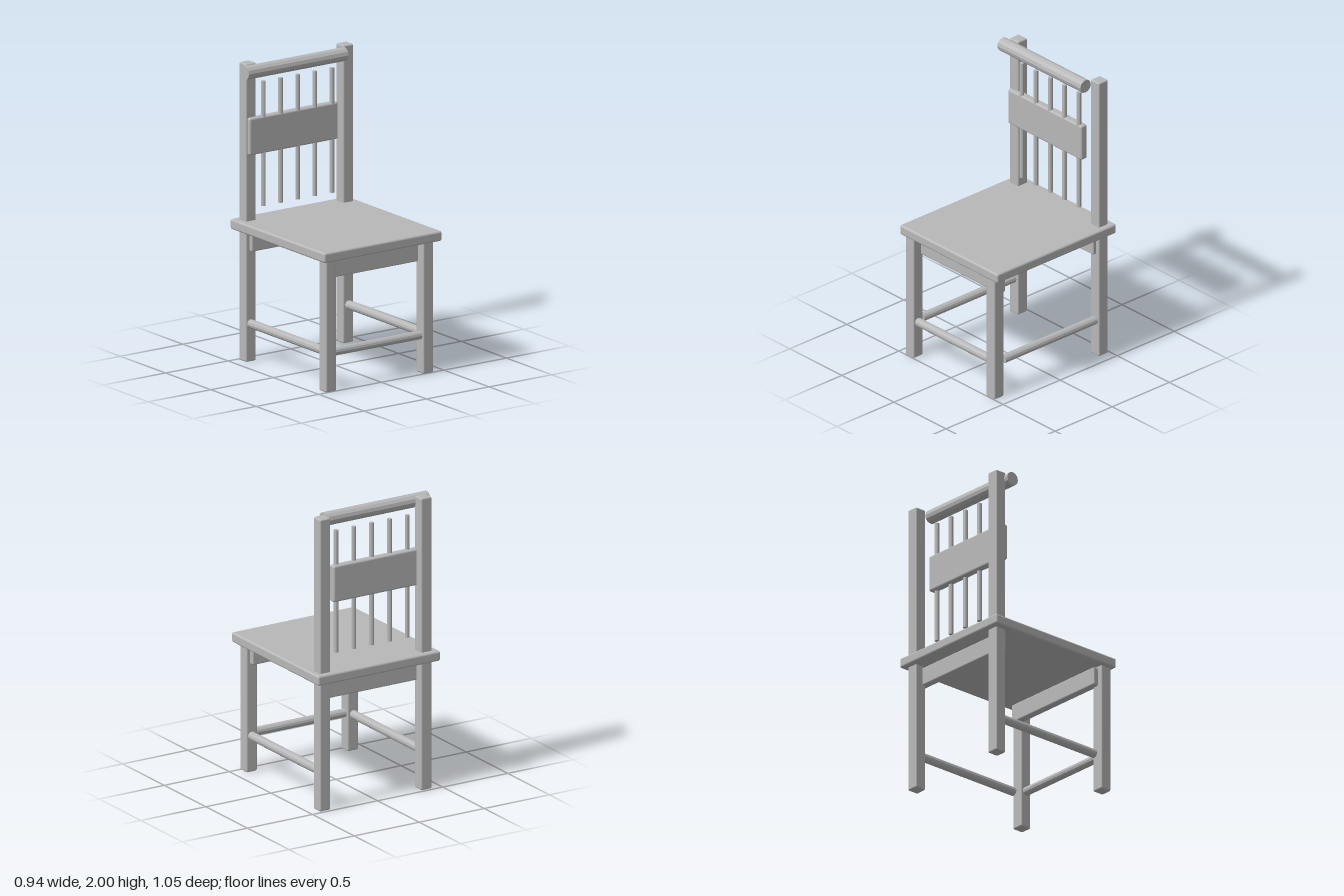
import * as THREE from 'three';
import { RoundedBoxGeometry } from 'three/addons/geometries/RoundedBoxGeometry.js';

export function createModel() {
  const chair = new THREE.Group();
  chair.name = 'chair';
  const grey = new THREE.MeshStandardMaterial({ color: 0xb8b8b8 });
  grey.name = 'plain grey';

  const add = (name, geometry) => {
    const mesh = new THREE.Mesh(geometry, grey);
    mesh.name = name;
    chair.add(mesh);
    return mesh;
  };

  // Softly rounded board given by its extents on each axis
  const board = (name, [x0, x1], [y0, y1], [z0, z1], radius = 0.01) => {
    const geometry = new RoundedBoxGeometry(x1 - x0, y1 - y0, z1 - z0, 2, radius);
    add(name, geometry).position.set((x0 + x1) / 2, (y0 + y1) / 2, (z0 + z1) / 2);
  };

  // Faceted round bar between two points
  const bar = (name, from, to, radius, sides = 12) => {
    const a = new THREE.Vector3(...from), b = new THREE.Vector3(...to);
    const along = b.clone().sub(a);
    const geometry = new THREE.CylinderGeometry(radius, radius, along.length(), sides).toNonIndexed();
    geometry.computeVertexNormals();
    const mesh = add(name, geometry);
    mesh.position.copy(a).add(b).multiplyScalar(0.5);
    mesh.quaternion.setFromUnitVectors(new THREE.Vector3(0, 1, 0), along.normalize());
  };

  // Seat
  board('seat', [-0.47, 0.47], [0.877, 0.945], [-0.523, 0.523], 0.014);

  // Front legs and full-height back posts
  board('rightFrontLeg', [-0.44, -0.358], [0, 0.89], [0.418, 0.5]);
  board('leftFrontLeg', [0.337, 0.419], [0, 0.89], [0.418, 0.5]);
  board('rightBackPost', [-0.427, -0.345], [0, 2], [-0.485, -0.403]);
  board('leftBackPost', [0.35, 0.432], [0, 2], [-0.485, -0.403]);

  // Aprons under the seat
  board('frontApron', [-0.405, 0.395], [0.742, 0.867], [0.382, 0.437]);
  board('backApron', [-0.4, 0.405], [0.742, 0.867], [-0.43, -0.376]);

  // Stretchers between the legs
  bar('frontStretcher', [-0.36, 0.255, 0.46], [0.34, 0.255, 0.46], 0.029);
  bar('rightStretcher', [-0.39, 0.255, 0.4], [-0.39, 0.255, -0.405], 0.029);
  bar('leftStretcher', [0.392, 0.255, 0.4], [0.392, 0.255, -0.405], 0.029);

  // Back: spindles, wide slat and round top rail
  for (let i = 0; i < 5; i++) {
    const x = -0.297 + i * 0.137;
    bar('spindle', [x, 1.035, -0.392], [x, 1.873, -0.392], 0.016, 10);
  }
  board('backSlat', [-0.417, 0.292], [1.39, 1.64], [-0.43, -0.376], 0.014);
  bar('topRail', [-0.46, 1.955, -0.372], [0.337, 1.955, -0.372], 0.046);

  return chair;
}
